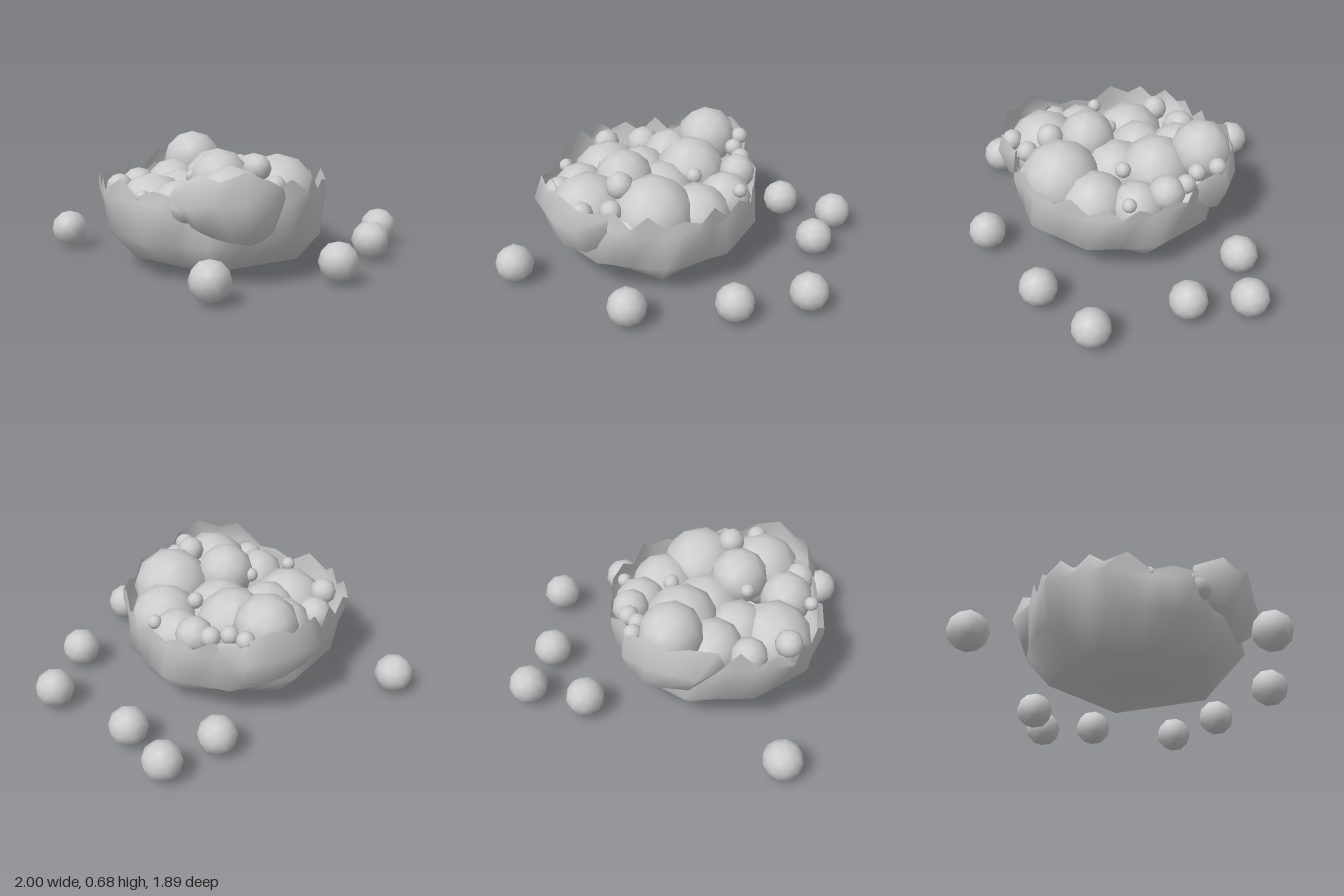
import * as THREE from 'three';

const material = new THREE.MeshStandardMaterial({ color: 0xcccccc });
const shellMaterial = new THREE.MeshStandardMaterial({ color: 0xcccccc, side: THREE.DoubleSide });

// Seeded random numbers for the broken edge
function seeded(seed) {
  return () => {
    seed = (seed * 16807) % 2147483647;
    return seed / 2147483647;
  };
}

// Skin a surface over rows of points [x, y, z]; rows run upward
function loft(rows, closed) {
  const n = rows[0].length;
  const index = [];
  for (let r = 0; r < rows.length - 1; r++) {
    for (let i = 0; i < (closed ? n : n - 1); i++) {
      const j = (i + 1) % n;
      const a = r * n + i, b = r * n + j, c = a + n, d = b + n;
      index.push(a, c, b, b, c, d);
    }
  }
  const geometry = new THREE.BufferGeometry();
  geometry.setAttribute('position', new THREE.Float32BufferAttribute(rows.flat(2), 3));
  geometry.setIndex(index);
  geometry.computeVertexNormals();
  return geometry;
}

const CENTRE = [-0.13, 0.03];
const COLUMNS = 40;
// Bowl rim seen from above [x, z], corners 36 degrees apart starting at -18
const RIM = [
  [0.44, -0.16], [0.44, 0.21], [0.23, 0.51], [-0.13, 0.59], [-0.47, 0.5],
  [-0.75, 0.12], [-0.755, -0.19], [-0.48, -0.44], [-0.13, -0.53], [0.22, -0.45],
];

// Corners [x, z] of a regular polygon around the bowl's centre
function polygon(sides, radius, startDegrees) {
  return Array.from({ length: sides }, (_, i) => {
    const a = THREE.MathUtils.degToRad(startDegrees + i * 360 / sides);
    return [CENTRE[0] + radius * Math.cos(a), CENTRE[1] + radius * Math.sin(a)];
  });
}

// Spread columns evenly along a polygon's edges, offset by some columns
function spread(corners, offset, height) {
  const steps = COLUMNS / corners.length;
  return Array.from({ length: COLUMNS }, (_, column) => {
    const k = (column + offset) % COLUMNS;
    const i = Math.floor(k / steps), t = (k % steps) / steps;
    const [x, z] = corners[i], [x2, z2] = corners[(i + 1) % corners.length];
    return [x + (x2 - x) * t, height(column), z + (z2 - z) * t];
  });
}

// Five-sided base, ten-sided wall, ragged rim
function makeBowl() {
  const random = seeded(77);
  const teeth = Array.from({ length: COLUMNS }, (_, i) => 0.42 + (i % 2) * 0.04 + random() * 0.06);
  const rows = [
    spread(polygon(5, 0.001, -36), 0, () => 0),
    spread(polygon(5, 0.46, -36), 0, () => 0.05),
    spread(polygon(10, 0.59, -36), 0, () => 0.2),
    spread(RIM, COLUMNS - 2, () => 0.4),
    spread(RIM, COLUMNS - 2, (i) => teeth[i]),
  ];
  return new THREE.Mesh(loft(rows, true), shellMaterial);
}

// Bulging broken piece leaning on the bowl; side is 1 for front, -1 for back
function makeShard(side) {
  const rows = [
    [[-0.2, 0.21, 0.54], [-0.18, 0.2, 0.56], [-0.14, 0.2, 0.57], [-0.1, 0.195, 0.575], [-0.06, 0.2, 0.57], [-0.02, 0.21, 0.54]],
    [[-0.39, 0.31, 0.5], [-0.35, 0.29, 0.6], [-0.22, 0.28, 0.655], [-0.12, 0.27, 0.67], [0, 0.27, 0.64], [0.06, 0.28, 0.53]],
    [[-0.49, 0.43, 0.48], [-0.42, 0.41, 0.63], [-0.29, 0.42, 0.67], [-0.15, 0.42, 0.705], [0, 0.41, 0.69], [0.1, 0.43, 0.55]],
    [[-0.45, 0.5, 0.48], [-0.36, 0.57, 0.61], [-0.26, 0.54, 0.65], [-0.14, 0.585, 0.68], [0, 0.53, 0.66], [0.1, 0.47, 0.53]],
  ].map((row) => {
    const placed = row.map(([x, y, z]) => [x, y, side > 0 ? z : 0.06 - z]);
    return side > 0 ? placed.reverse() : placed;
  });
  return new THREE.Mesh(loft(rows, false), shellMaterial);
}

// Balls heaped in the bowl [x, y, z, radius]
const HEAP = [
  [-0.17, 0.51, -0.44, 0.17], [-0.07, 0.4, -0.21, 0.2], [-0.16, 0.48, 0.21, 0.16],
  [0.14, 0.4, 0.27, 0.22], [-0.16, 0.38, 0.465, 0.21], [-0.49, 0.3, 0.05, 0.21],
  [-0.4, 0.36, 0.33, 0.15], [-0.32, 0.38, -0.28, 0.16], [-0.52, 0.4, -0.25, 0.1],
  [0.24, 0.34, 0.05, 0.19], [0.18, 0.45, -0.33, 0.1], [-0.07, 0.33, 0.02, 0.2],
  [-0.65, 0.42, -0.07, 0.075], [0.23, 0.36, -0.18, 0.15], [-0.32, 0.34, -0.05, 0.17],
  [-0.39, 0.4, 0.48, 0.09], [0.15, 0.37, 0.42, 0.1],
  [0, 0.56, 0.375, 0.075], [0.06, 0.48, 0.49, 0.06], [-0.03, 0.48, 0.61, 0.06],
  [-0.58, 0.42, 0.29, 0.04], [0.1, 0.49, -0.07, 0.045], [0.35, 0.46, -0.17, 0.04],
  [-0.02, 0.52, -0.56, 0.05], [0.12, 0.48, -0.42, 0.055], [0.03, 0.5, -0.46, 0.05],
  [-0.28, 0.49, 0.11, 0.04],
];

// Loose balls on the floor [x, z]
const LOOSE = [
  [-0.9, -0.52], [0.18, -0.74], [0.49, -0.845], [0.59, -0.545],
  [0.9, -0.12], [0.7, 0.225], [0.35, 0.645], [-0.355, 0.835],
];

export function createModel() {
  const model = new THREE.Group();
  const add = (mesh, name) => {
    mesh.name = name;
    model.add(mesh);
  };
  add(makeBowl(), 'brokenBowl');
  add(makeShard(1), 'frontShard');
  add(makeShard(-1), 'backShard');

  // turned so that one corner points straight up
  const ball = new THREE.IcosahedronGeometry(1, 1).rotateZ(-Math.atan(2 / (1 + Math.sqrt(5))));
  const addBall = (x, y, z, r, name) => {
    const mesh = new THREE.Mesh(ball, material);
    mesh.position.set(x, y, z);
    mesh.scale.setScalar(r);
    add(mesh, name);
  };
  HEAP.forEach(([x, y, z, r], i) => addBall(x, y, z, r, `heapBall${i + 1}`));
  LOOSE.forEach(([x, z], i) => addBall(x, 0.113, z, 0.104, `looseBall${i + 1}`));
  return model;
}
